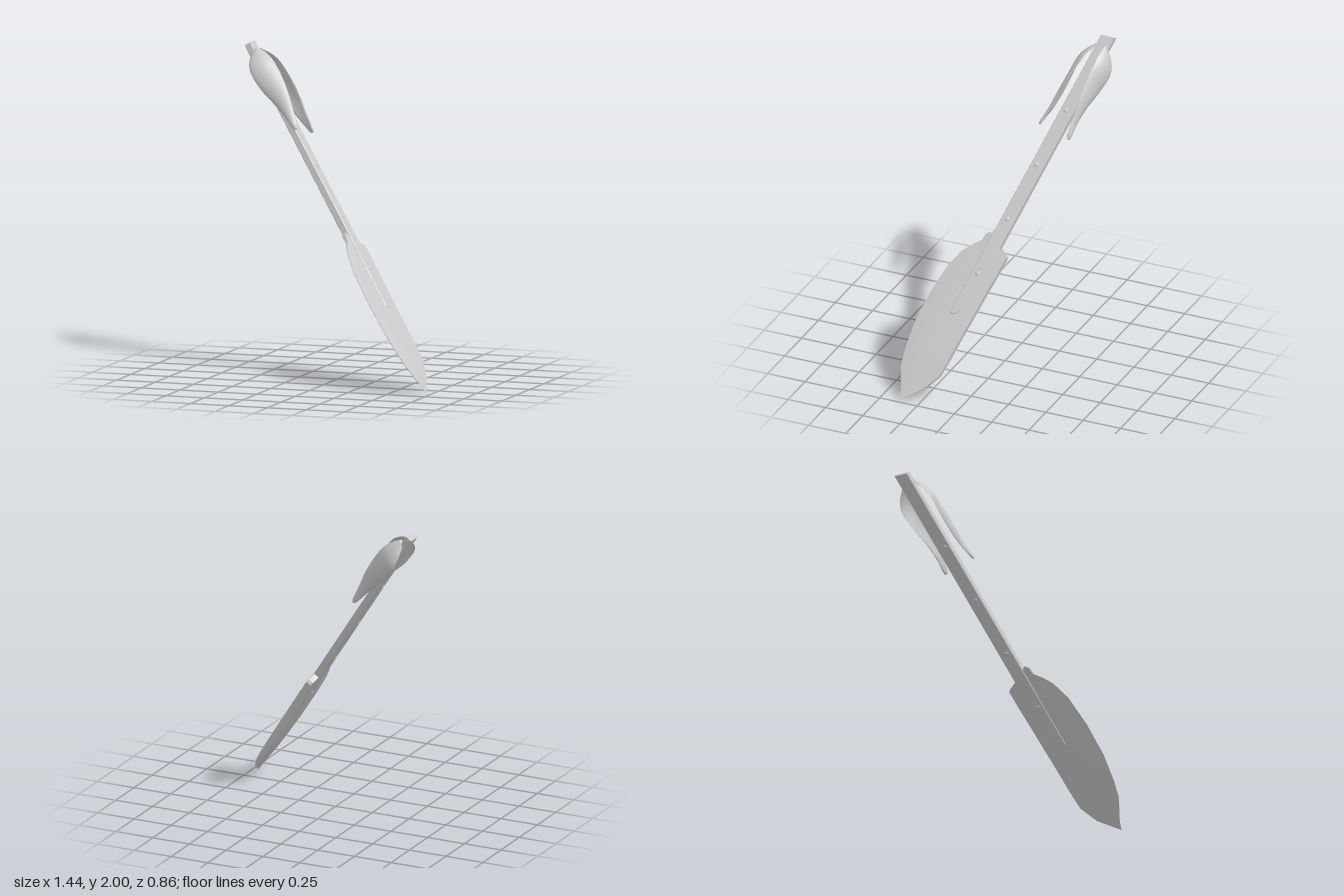
import * as THREE from 'three';
import { toCreasedNormals } from 'three/addons/utils/BufferGeometryUtils.js';

const material = new THREE.MeshStandardMaterial({ color: 0xcccccc, side: THREE.DoubleSide });

// The paddle lies in a tilted plane: local x = -z of the model, local y runs up the slope.
const SLOPE = Math.atan2(0.582, 0.813);
const RISE = 0.813;
const onPlane = (z, y) => [-z, (y - 1) / RISE];

function mesh(name, geometry, parent) {
  const m = new THREE.Mesh(geometry, material);
  m.name = name;
  parent.add(m);
  return m;
}

// Skin over closed rings of points, with fan caps.
function loft(rings, crease) {
  const n = rings[0].length;
  const pos = [];
  const idx = [];
  rings.forEach(r => r.forEach(p => pos.push(p.x, p.y, p.z)));
  for (let i = 0; i < rings.length - 1; i++) {
    for (let j = 0; j < n; j++) {
      const a = i * n + j, b = i * n + (j + 1) % n;
      idx.push(a, b, b + n, a, b + n, a + n);
    }
  }
  [0, rings.length - 1].forEach((row, end) => {
    const c = rings[row].reduce((s, p) => s.add(p), new THREE.Vector3()).divideScalar(n);
    const centre = pos.length / 3;
    pos.push(c.x, c.y, c.z);
    for (let j = 0; j < n; j++) {
      const a = row * n + j, b = row * n + (j + 1) % n;
      if (end) idx.push(centre, a, b);
      else idx.push(centre, b, a);
    }
  });
  const g = new THREE.BufferGeometry();
  g.setAttribute('position', new THREE.Float32BufferAttribute(pos, 3));
  g.setIndex(idx);
  return toCreasedNormals(g, crease);
}

// Blade: spine z, y, cutting edge z, y, half thickness at the body and at the edge.
function bladeGeometry() {
  const rows = [
    [-0.04, 0.822, 0.065, 0.913, 0.018, 0.015],
    [-0.072, 0.815, 0.09, 0.9, 0.018, 0.012],
    [-0.08, 0.8, 0.105, 0.865, 0.018, 0.008],
    [-0.065, 0.76, 0.16, 0.835, 0.018, 0.004],
    [-0.05, 0.715, 0.215, 0.795, 0.018, 0.002],
    [-0.02, 0.64, 0.285, 0.71, 0.018, 0.002],
    [0.03, 0.505, 0.355, 0.56, 0.018, 0.002],
    [0.085, 0.36, 0.408, 0.39, 0.018, 0.002],
    [0.12, 0.26, 0.426, 0.25, 0.017, 0.002],
    [0.143, 0.2, 0.426, 0.17, 0.015, 0.002],
    [0.16, 0.156, 0.407, 0.11, 0.012, 0.002],
    [0.243, 0.075, 0.387, 0.05, 0.006, 0.001],
    [0.379, 0.006, 0.381, 0.003, 0.001, 0.001],
  ];
  const rings = rows.map(([sz, sy, ez, ey, body, edge]) => {
    const across = [[0, body], [0.5, body], [0.78, body * 0.65 + edge * 0.35], [1, edge]];
    const side = sign => across.map(([f, h]) => new THREE.Vector3(
      ...onPlane(sz + (ez - sz) * f, sy + (ey - sy) * f), sign * h));
    return [...side(1), ...side(-1).reverse()];
  });
  return loft(rings, 0.6);
}

// Handle: long bar with a lopsided rounded lower end.
function handleGeometry() {
  const p = (z, y) => onPlane(z, y - 0.013);
  const shape = new THREE.Shape();
  shape.moveTo(...p(-0.42, 2));
  shape.lineTo(...p(-0.332, 2));
  shape.lineTo(...p(0.19, 0.5));
  shape.quadraticCurveTo(...p(0.19, 0.485), ...p(0.165, 0.487));
  shape.bezierCurveTo(...p(0.13, 0.49), ...p(0.08, 0.56), ...p(0.055, 0.63));
  shape.closePath();
  const bevel = 0.004;
  const g = new THREE.ExtrudeGeometry(shape, {
    depth: 0.045 - 2 * bevel, curveSegments: 8,
    bevelThickness: bevel, bevelSize: bevel, bevelOffset: -bevel, bevelSegments: 1,
  });
  return g.translate(0, 0, -0.0225 + bevel);
}

// Leaf: distance down the handle, then height and sideways offset of both rims.
function leafGeometry(side) {
  const rows = [
    [0.05, 0.012, 0.03, 0.04, 0.02],
    [0.1, -0.025, 0.09, 0.075, 0.033],
    [0.16, -0.04, 0.118, 0.1, 0.045],
    [0.28, -0.036, 0.11, 0.11, 0.058],
    [0.4, -0.008, 0.097, 0.102, 0.075],
    [0.5, 0.015, 0.097, 0.085, 0.085],
    [0.6, 0.036, 0.113, 0.068, 0.1],
    [0.615, 0.044, 0.112, 0.061, 0.105],
  ];
  const rim = (h, o) => new THREE.CatmullRomCurve3(rows.map(r =>
    new THREE.Vector3(r[o] * 0.963, -(r[0] * 1.038 + r[o] * 0.27), r[h])));
  const low = rim(1, 2), high = rim(3, 4);
  const rings = [];
  const steps = 32, around = 16;
  for (let i = 0; i <= steps; i++) {
    const a = low.getPoint(i / steps), b = high.getPoint(i / steps);
    const mid = a.clone().add(b).multiplyScalar(0.5);
    const half = b.clone().sub(a).multiplyScalar(0.5);
    const out = new THREE.Vector3(half.z, 0, -half.x).normalize();
    const bulge = Math.min(0.016, half.length() * 0.22);
    const thick = Math.min(0.009, half.length() * 0.5);
    const ring = [];
    for (let j = 0; j < around; j++) {
      const t = j / around * Math.PI * 2;
      const p = mid.clone().addScaledVector(half, Math.cos(t))
        .addScaledVector(out, thick * Math.sin(t) + bulge * Math.sin(t) ** 2);
      p.x *= -side;
      ring.push(p);
    }
    rings.push(side > 0 ? ring : ring.reverse());
  }
  return loft(rings, 1.0);
}

export function createModel() {
  const model = new THREE.Group();
  model.name = 'bladedPaddle';

  const tilted = new THREE.Group();
  tilted.name = 'tiltedBody';
  tilted.position.set(0.003, 1, 0);
  tilted.quaternion.setFromRotationMatrix(new THREE.Matrix4().makeBasis(
    new THREE.Vector3(0, 0, -1),
    new THREE.Vector3(-Math.sin(SLOPE), Math.cos(SLOPE), 0),
    new THREE.Vector3(Math.cos(SLOPE), Math.sin(SLOPE), 0)));
  model.add(tilted);

  mesh('blade', bladeGeometry(), tilted);
  mesh('handle', handleGeometry(), tilted);

  // Domed rivets on both faces of the handle
  for (let i = 0; i < 4; i++) {
    const [x, y] = onPlane(-0.227 + i * 0.1007, 1.582 - i * 0.295);
    for (const face of [1, -1]) {
      const rivet = mesh('rivet', new THREE.SphereGeometry(0.015, 16, 10), tilted);
      rivet.scale.z = 0.4;
      rivet.position.set(x, y, face * 0.0225);
    }
  }

  // Pair of leaves draped from the top of the handle
  const leaves = new THREE.Group();
  leaves.name = 'leaves';
  leaves.position.set(0.375, 0.985 / RISE, 0);
  leaves.rotation.z = -0.27;
  tilted.add(leaves);
  mesh('leftLeaf', leafGeometry(1), leaves);
  mesh('rightLeaf', leafGeometry(-1), leaves);

  return model;
}
